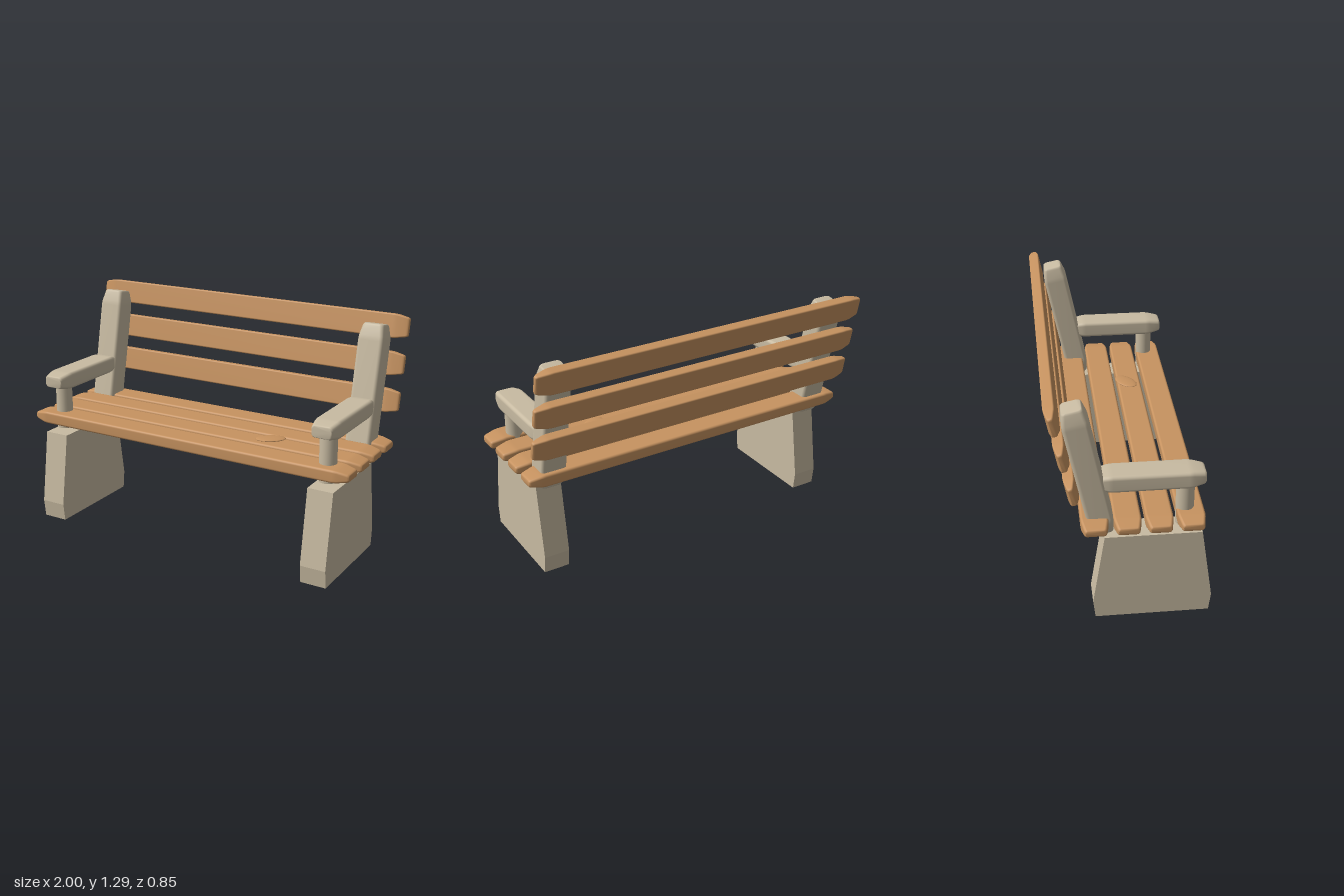
import * as THREE from 'three';

const LEAN = -0.204; // backward tilt of the backrest

// Softened bar along z: rounded-rectangle section, slightly pinched at both ends
function barGeometry(w, h, len, r) {
  const section = (inset) => {
    const pts = [];
    const hw = w / 2 - inset, hh = h / 2 - inset;
    [[1, 1], [-1, 1], [-1, -1], [1, -1]].forEach(([sx, sy], corner) => {
      for (let k = 0; k <= 4; k++) {
        const a = (corner + k / 4) * Math.PI / 2;
        pts.push([sx * (hw - r) + r * Math.cos(a), sy * (hh - r) + r * Math.sin(a)]);
      }
    });
    return pts;
  };
  // distance from the end, inset of the section
  const end = [[0, 0.02], [0.004, 0.016], [0.012, 0.0125], [0.035, 0.008], [0.065, 0.002], [0.09, 0]];
  const rings = [
    ...end.map(([d, i]) => [-len / 2 + d, i]),
    ...end.slice().reverse().map(([d, i]) => [len / 2 - d, i]),
  ];
  const pos = [], idx = [];
  let n = 0;
  for (const [z, inset] of rings) {
    const pts = section(inset);
    n = pts.length;
    for (const [x, y] of pts) pos.push(x, y, z);
  }
  for (let j = 0; j < rings.length - 1; j++) {
    for (let i = 0; i < n; i++) {
      const a = j * n + i, b = j * n + (i + 1) % n;
      idx.push(a, b, b + n, a, b + n, a + n);
    }
  }
  const last = (rings.length - 1) * n;
  for (let i = 1; i < n - 1; i++) {
    idx.push(0, i + 1, i);
    idx.push(last, last + i, last + i + 1);
  }
  const g = new THREE.BufferGeometry();
  g.setAttribute('position', new THREE.Float32BufferAttribute(pos, 3));
  g.setIndex(idx);
  g.computeVertexNormals();
  return g;
}

export function createModel() {
  const bench = new THREE.Group();
  bench.name = 'bench';
  const wood = new THREE.MeshStandardMaterial({ color: 0xc79360 });
  wood.name = 'wood';
  const stone = new THREE.MeshStandardMaterial({ color: 0xc8bba2 });
  stone.name = 'stone';

  const add = (name, geometry, material, x, y, z, tilt = 0) => {
    const mesh = new THREE.Mesh(geometry, material);
    mesh.name = name;
    mesh.position.set(x, y, z);
    mesh.rotation.x = tilt;
    bench.add(mesh);
    return mesh;
  };

  // Seat slats
  const seatSlat = barGeometry(0.14, 0.07, 2, 0.013).rotateY(Math.PI / 2);
  [0.304, 0.141, -0.02, -0.185].forEach((z, i) => add('seatSlat' + (i + 1), seatSlat, wood, 0, 0.604, z));

  // Backrest slats
  const backSlat = barGeometry(0.058, 0.132, 2, 0.008).rotateY(Math.PI / 2);
  [[0.829, -0.298], [1.027, -0.342], [1.226, -0.382]].forEach(([y, z], i) =>
    add('backSlat' + (i + 1), backSlat, wood, 0, y, z, LEAN));

  // Wood knot on the second seat slat: shallow lens
  const knotGeometry = new THREE.SphereGeometry(1, 32, 12).scale(0.083, 0.009, 0.049);
  add('woodKnot', knotGeometry, wood, 0.435, 0.645, 0.123).rotation.y = 0.6;

  // Stone leg slab, profile in z and y
  const profile = new THREE.Shape([
    [0.415, 0], [0.427, 0.1], [0.365, 0.515], [-0.135, 0.515], [-0.197, 0.1], [-0.185, 0],
  ].map(([z, y]) => new THREE.Vector2(-z, y)));
  const leg = new THREE.ExtrudeGeometry(profile, { depth: 0.145, bevelEnabled: false })
    .translate(0, 0, -0.0725).rotateY(Math.PI / 2);

  const post = barGeometry(0.145, 0.134, 0.738, 0.02).rotateX(Math.PI / 2);
  const armrest = barGeometry(0.145, 0.096, 0.555, 0.02);
  const support = new THREE.CylinderGeometry(0.047, 0.047, 0.26, 24);

  // Both end frames
  for (const [side, s] of [['left', 1], ['right', -1]]) {
    const x = s * 0.848;
    add(side + 'Leg', leg, stone, x, 0, 0);
    add(side + 'BackPost', post, stone, x, 0.889, -0.212, LEAN);
    add(side + 'Armrest', armrest, stone, x, 0.829, 0.0975);
    add(side + 'ArmSupport', support, stone, x, 0.669, 0.279);
  }
  return bench;
}
